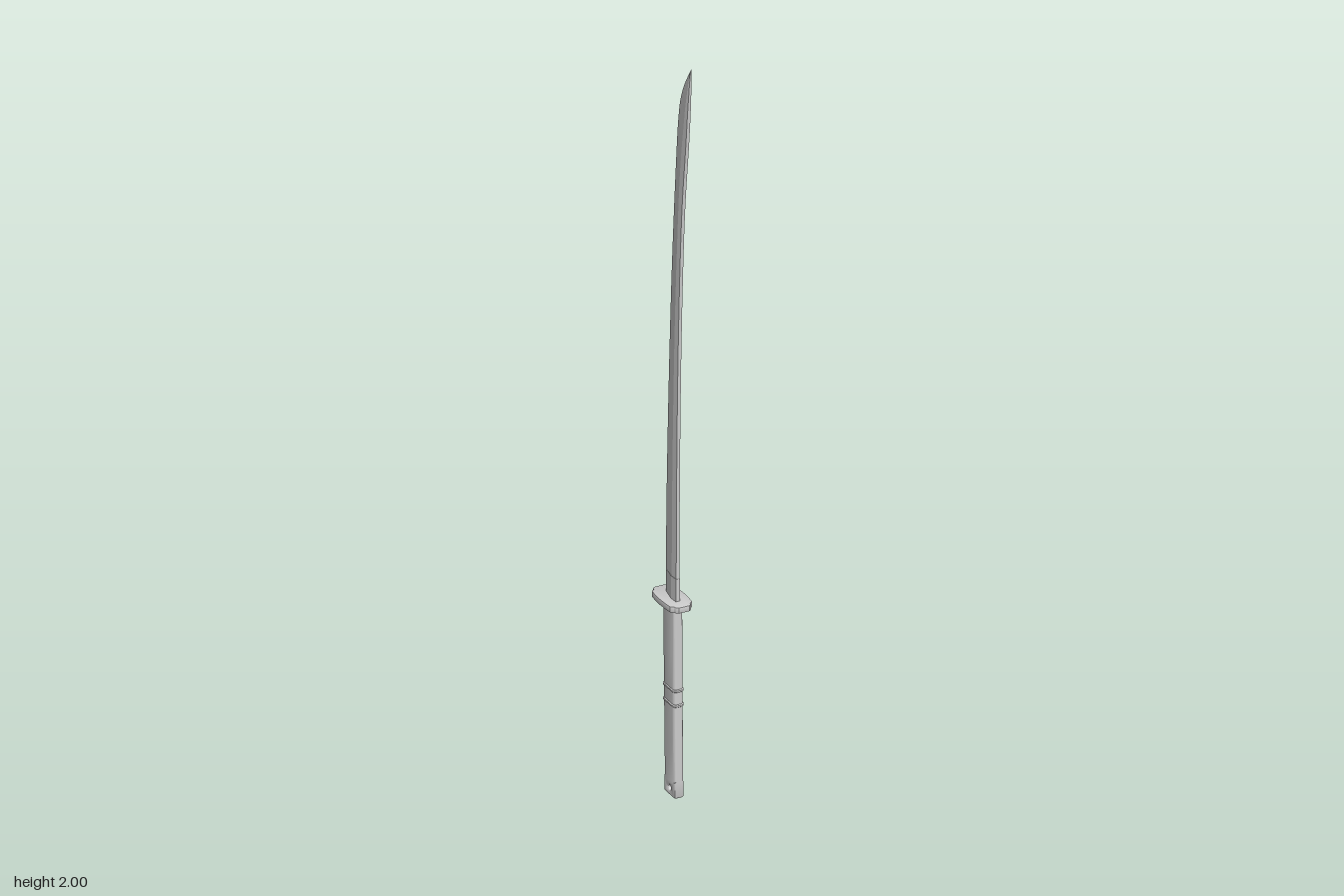
import * as THREE from 'three';
import { toCreasedNormals } from 'three/addons/utils/BufferGeometryUtils.js';

const material = new THREE.MeshStandardMaterial({ color: 0xcccccc });
const { lerp } = THREE.MathUtils;

function part(name, geometry, crease = 0.6) {
  const mesh = new THREE.Mesh(toCreasedNormals(geometry, crease), material);
  mesh.name = name;
  return mesh;
}

// Closed solid through rings of [x, y, z] points, listed from bottom to top
function loft(rings) {
  const n = rings[0].length, last = (rings.length - 1) * n;
  const index = [];
  for (let j = 0; j < rings.length - 1; j++) {
    for (let i = 0; i < n; i++) {
      const a = j * n + i, b = j * n + (i + 1) % n;
      index.push(a, a + n, b, b, a + n, b + n);
    }
  }
  for (let i = 1; i < n - 1; i++) {
    index.push(0, i, i + 1, last, last + i + 1, last + i);
  }
  const g = new THREE.BufferGeometry();
  g.setAttribute('position', new THREE.Float32BufferAttribute(rings.flat(2), 3));
  g.setIndex(index);
  return g;
}

// Front and back of the grip as z over y
const gripFront = (y) => 0.02 - 0.005 * (y / 0.52);
const gripBack = (y) => -0.036 - 0.01 * (y / 0.52);
const GRIP_X = 0.0135;

// Rounded-rectangle ring around the grip at height y, grown by a margin
function gripRing(y, grow) {
  const r = 0.009 + grow, hx = GRIP_X + grow;
  const zc = (gripFront(y) + gripBack(y)) / 2, hz = (gripFront(y) - gripBack(y)) / 2 + grow;
  const pts = [];
  for (let c = 0; c < 4; c++) {
    const sx = c === 0 || c === 3 ? 1 : -1, sz = c < 2 ? 1 : -1;
    for (let k = 0; k <= 5; k++) {
      const a = (c + k / 5) * Math.PI / 2;
      pts.push([sx * (hx - r) + r * Math.cos(a), y, zc + sz * (hz - r) + r * Math.sin(a)]);
    }
  }
  return pts;
}

// Curved outlines of the blade as z over y
const curve = (pts) => new THREE.SplineCurve(pts.map(([z, y]) => new THREE.Vector2(z, y)));
const spine = curve([[0.011, 0.52], [0.013, 0.81], [0.019, 1.13], [0.029, 1.4], [0.042, 1.61], [0.063, 1.8], [0.081, 2]]);
const edge = curve([[-0.05, 0.52], [-0.048, 0.76], [-0.037, 1.08], [-0.021, 1.4], [0, 1.69], [0.016, 1.85], [0.038, 1.928], [0.081, 2]]);

// Blade section: sharp edge at -z, ridge, and a flat spine at +z
function bladeRing(s, e, w) {
  const at = (k) => [lerp(e.y, s.y, k), lerp(e.x, s.x, k)];
  return [
    [w, ...at(0.65)], [w * 0.8, ...at(1)], [-w * 0.8, ...at(1)],
    [-w, ...at(0.65)], [0, ...at(0)],
  ];
}

function createBlade() {
  const rings = [];
  const steps = 40;
  for (let j = 0; j <= steps; j++) {
    const t = j / steps;
    const taper = Math.min(1, Math.sqrt((1 - t) * 8) + 0.02);
    rings.push(bladeRing(spine.getPoint(t), edge.getPoint(t), 0.0055 * taper));
  }
  return part('blade', loft(rings), 0.15);
}

// Wedge-shaped collar that seats the blade in the guard
function createCollar() {
  const ring = (y, w) => bladeRing({ x: 0.0125, y }, { x: -0.0515, y }, w);
  return part('bladeCollar', loft([ring(0.52, 0.0075), ring(0.59, 0.0068)]), 0.15);
}

// Foot of the grip, with a cord hole through its sides
function createPommel() {
  const bevel = 0.006, depth = 2 * (GRIP_X - bevel), top = 0.045;
  const shape = new THREE.Shape();
  shape.moveTo(gripBack(0), 0.006);
  shape.quadraticCurveTo(gripBack(0), 0, -0.03, 0);
  shape.lineTo(0.014, 0);
  shape.quadraticCurveTo(gripFront(0), 0, gripFront(0), 0.006);
  shape.lineTo(gripFront(top), top);
  shape.lineTo(gripBack(top), top);
  const hole = new THREE.Path();
  hole.absarc(-0.008, 0.02, 0.0065, 0, Math.PI * 2, true);
  shape.holes.push(hole);
  const g = new THREE.ExtrudeGeometry(shape, {
    depth, bevelSize: bevel, bevelThickness: bevel, bevelOffset: -bevel, bevelSegments: 4, curveSegments: 8,
  });
  g.translate(0, 0, -depth / 2);
  g.rotateY(-Math.PI / 2);
  return part('pommel', g);
}

// Guard plate with notched corners
function createGuard() {
  const quarter = [[0, 0.062], [0.014, 0.062], [0.019, 0.058], [0.021, 0.052], [0.029, 0.046], [0.031, 0.03], [0.0325, 0]];
  const back = quarter.slice(0, -1).reverse().map(([x, z]) => [x, -z]);
  const half = [...quarter, ...back];
  const other = half.slice(1, -1).reverse().map(([x, z]) => [-x, z]);
  const shape = new THREE.Shape([...half, ...other].map(([x, z]) => new THREE.Vector2(x, z)));
  const g = new THREE.ExtrudeGeometry(shape, {
    depth: 0.012, bevelSize: 0.0015, bevelThickness: 0.002, bevelSegments: 2,
  });
  g.rotateX(Math.PI / 2);
  g.translate(0, 0.528, -0.019);
  return part('guard', g);
}

export function createModel() {
  const model = new THREE.Group();
  model.name = 'sword';
  model.add(createBlade(), createCollar(), createGuard(), createPommel());
  model.add(part('grip', loft([0.036, 0.15, 0.27, 0.4, 0.52].map((y) => gripRing(y, 0)))));

  // Two raised bands around the grip
  for (const y of [0.25, 0.29]) {
    const profile = [[-0.004, 0], [-0.002, 0.0025], [0.002, 0.0025], [0.004, 0]];
    model.add(part('gripBand', loft(profile.map(([dy, grow]) => gripRing(y + dy, grow)))));
  }
  return model;
}
